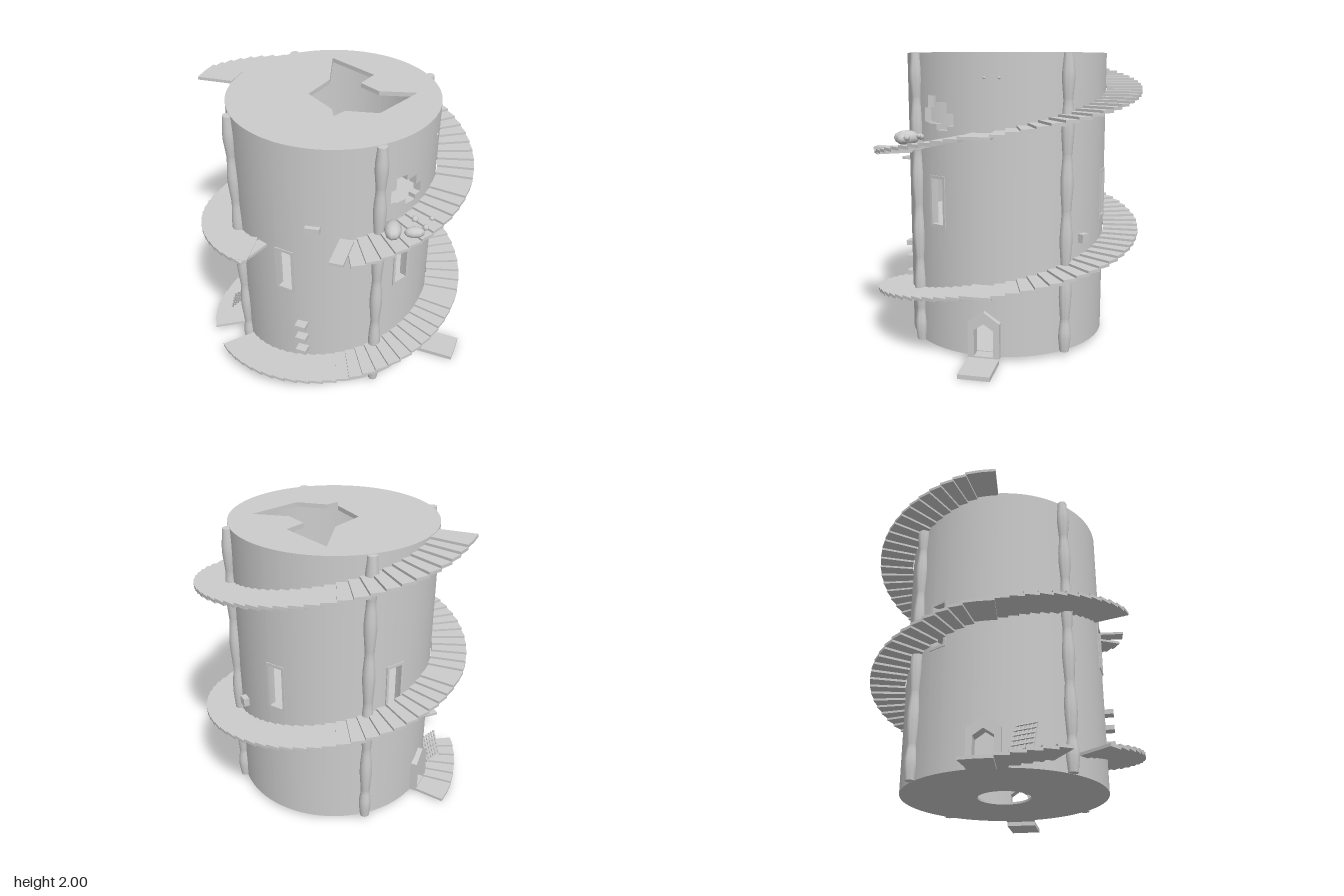
import * as THREE from 'three';
import { toCreasedNormals } from 'three/addons/utils/BufferGeometryUtils.js';

const grey = new THREE.MeshStandardMaterial({ color: 0xcccccc });
const RAD = Math.PI / 180;
const R = 0.695, RI = 0.645, Y0 = 0.03, Y1 = 2;

export function createModel() {
  const model = new THREE.Group();
  model.name = 'spiralStairTower';
  model.position.x = -0.03; // tower axis
  const root = new THREE.Group();
  root.add(model);

  const add = (geo, name, x = 0, y = 0, z = 0, parent = model) => {
    const m = new THREE.Mesh(geo, grey);
    m.name = name;
    m.position.set(x, y, z);
    parent.add(m);
    return m;
  };
  // Place on the wall: angle 0 is +x, 90 is the back; local +z points outwards
  const addAt = (geo, name, deg, r, y) => {
    const a = deg * RAD;
    const m = add(geo, name, r * Math.cos(a), y, -r * Math.sin(a));
    m.rotation.y = a + Math.PI / 2;
    return m;
  };
  const poly = pts => new THREE.Shape(pts.map(p => new THREE.Vector2(p[0], p[1])));
  const extrude = (shape, depth) =>
    new THREE.ExtrudeGeometry(shape, { depth, bevelEnabled: false, curveSegments: 96 });
  const flat = (shape, depth) => extrude(shape, depth).rotateX(-Math.PI / 2);

  // Openings in the wall: angle range and bottom/top height
  const windows = [-95.8, -28.6, 84.2, 151.4];
  const openings = [];
  for (const a of windows) openings.push({ a0: a - 4.6, a1: a + 4.6, lo: () => 0.88, hi: () => 1.2 });
  for (const c of [0, 180]) {
    for (const s of [-1, 1]) {
      const e = c + s * 6;
      openings.push({
        a0: Math.min(c, e), a1: Math.max(c, e),
        lo: () => 0.04, hi: a => 0.285 - 0.045 * Math.abs(a - c) / 6,
      });
    }
  }
  const breach = [[0.2, 0.25, 1.54, 1.62], [0.25, 0.33, 1.51, 1.69], [0.33, 0.4, 1.55, 1.73], [0.4, 0.43, 1.56, 1.65]];
  for (const [z0, z1, lo, hi] of breach)
    openings.push({ a0: -Math.asin(z1 / R) / RAD, a1: -Math.asin(z0 / R) / RAD, lo: () => lo, hi: () => hi });

  add(wallGeometry(openings), 'wall');

  // Roof with a jagged hole
  const disc = (r, holeR) => {
    const s = new THREE.Shape().absarc(0, 0, r, 0, Math.PI * 2);
    if (holeR) s.holes.push(new THREE.Path().absarc(0, 0, holeR, 0, Math.PI * 2, true));
    return s;
  };
  const roof = disc(0.648);
  roof.holes.push(poly([[-0.21, 0.51], [0.15, 0.36], [0.11, 0.21], [0.26, 0.14], [0.5, 0.21], [0.36, -0.14],
    [0.15, -0.19], [0.11, -0.28], [0.07, -0.2], [-0.15, -0.06], [-0.1, 0.18]]));
  add(flat(roof, 0.03), 'roof', 0, 1.97);

  // Floors
  add(flat(disc(0.648, 0.18), 0.015), 'groundFloor', 0, Y0);
  add(flat(disc(0.648), 0.03), 'middleFloor', 0, 0.83);
  add(flat(disc(0.648), 0.03), 'upperFloor', 0, 1.38);

  // Window frames
  const rect = (w, h) => poly([[-w, -h], [w, -h], [w, h], [-w, h]]);
  const frame = rect(0.068, 0.172);
  frame.holes.push(rect(0.05, 0.152));
  windows.forEach(a => addAt(extrude(frame, 0.03), 'windowFrame', a, 0.67, 1.04));

  // Pointed door frames and ground slabs
  const arch = (w, base, side, peak) => poly([[-w, base], [w, base], [w, side], [0, peak], [-w, side]]);
  const doorFrame = arch(0.106, Y0, 0.27, 0.345);
  doorFrame.holes.push(arch(0.065, 0.04, 0.22, 0.265));
  for (const a of [0, 180]) addAt(extrude(doorFrame, 0.08), 'doorFrame', a, 0.65, 0);
  add(new THREE.BoxGeometry(0.265, 0.03, 0.21), 'doorSlab', 0.8625, 0.015, 0);

  // Spiral stair: flat landing every half turn, 30 treads between
  const tread = half => {
    const a = half * RAD, c = Math.cos(a), s = Math.sin(a);
    const pts = [[0.7 * c, -0.7 * s], [0.945 * c, -0.945 * s]];
    if (half > 4) pts.push([0.945, 0]);
    pts.push([0.945 * c, 0.945 * s], [0.7 * c, 0.7 * s]);
    if (half > 4) pts.push([0.7, 0]);
    return flat(poly(pts), 0.02);
  };
  const stepGeo = tread(3), landingGeo = tread(6.3), rise = 0.4925 / 31;
  for (let half = 0; half < 5; half++) {
    for (let k = 0; k <= 30; k++) {
      if (half === 4 && k > 0) break;
      const top = 0.03 + half * 0.4925 + k * rise;
      if ((top > 0.112 && top < 0.166) || (top > 1.21 && top < 1.345)) continue; // fallen treads
      const m = add(k ? stepGeo : landingGeo, k ? 'stairTread' : 'landing', 0, top - 0.02);
      m.rotation.y = (-180 + half * 180 + (k ? 6 + (k - 0.5) * 5.6 : 0)) * RAD;
    }
  }
  // Loosened treads at the broken ends
  const loose = (deg, y, twist) => {
    const m = addAt(new THREE.BoxGeometry(0.09, 0.018, 0.24), 'looseTread', deg, 0.82, y);
    m.rotation.y += twist;
  };
  loose(-112, 1.2, 0.55);
  loose(-65, 1.355, -0.35);

  // Four columns of stacked bulging stones
  const profile = [];
  const joints = [0.03, 0.26, 0.62, 0.99, 1.36, 1.71, 2];
  for (let i = 0; i < joints.length - 1; i++)
    [[0.01, 0.032], [0.2, 0.037], [0.42, 0.043], [0.62, 0.042], [0.85, 0.034], [0.99, 0.031]].forEach(([t, r]) =>
      profile.push(new THREE.Vector2(r, THREE.MathUtils.lerp(joints[i], joints[i + 1], t))));
  profile.unshift(new THREE.Vector2(0, 0.03));
  profile.push(new THREE.Vector2(0, 1.998));
  const column = toCreasedNormals(new THREE.LatheGeometry(profile, 14), 0.6);
  for (const x of [-0.5, 0.5]) for (const z of [-0.5, 0.5]) add(column, 'column', x, 0, z);

  // Projecting wall stones and pegs
  for (const y of [0.37, 0.487, 0.602])
    add(new THREE.BoxGeometry(0.075, 0.034, 0.11), 'wallStone', 0.047, y, 0.7);
  addAt(new THREE.BoxGeometry(0.095, 0.042, 0.08), 'wallStone', -79, 0.685, 1.43);
  addAt(new THREE.BoxGeometry(0.06, 0.06, 0.09), 'wallStone', 57.3, 0.69, 0.79);
  for (const a of [0.5, 8.2]) addAt(new THREE.SphereGeometry(0.009, 10, 8), 'wallPeg', a, R, 1.845);

  // Leaning lattice beside the rear doorway
  const lattice = new THREE.Group();
  lattice.name = 'lattice';
  for (let i = 0; i < 6; i++) {
    add(new THREE.BoxGeometry(0.01, 0.2, 0.01), 'latticeBar', -0.07 + i * 0.028, 0, 0, lattice);
    add(new THREE.BoxGeometry(0.15, 0.01, 0.01), 'latticeRail', 0, -0.09 + i * 0.036, 0.006, lattice);
  }
  lattice.position.set(-0.71, 0.2, 0.24);
  lattice.rotation.set(-0.35, -199 * RAD + Math.PI / 2 + Math.PI * 2, 0, 'YXZ');
  model.add(lattice);

  // Rubble below the breach
  const rubble = [[0.6, 1.455, 0.54, 0.055, 0.05, 0.085, 0.3], [0.73, 1.46, 0.52, 0.065, 0.035, 0.04, 0.4],
    [0.7, 1.475, 0.41, 0.022, 0.02, 0.025, 0.1], [0.8, 1.49, 0.385, 0.018, 0.015, 0.015, 0.7],
    [0.785, 1.475, 0.47, 0.02, 0.02, 0.02, 1]];
  for (const [x, y, z, sx, sy, sz, turn] of rubble) {
    const rock = add(new THREE.SphereGeometry(1, 9, 6), 'rubble', x, y, z);
    rock.scale.set(sx, sy, sz);
    rock.rotation.y = turn;
  }

  // Furnishings of the upper room
  add(new THREE.SphereGeometry(0.15, 24, 16), 'globe', 0.03, 1.56, 0.02);
  add(new THREE.BoxGeometry(0.2, 0.025, 0.13), 'tableTop', 0.11, 1.7, -0.065);
  for (const x of [0.03, 0.19]) add(new THREE.BoxGeometry(0.02, 0.29, 0.1), 'tableLeg', x, 1.55, -0.065);
  for (const [x, z, turn] of [[0.04, -0.27, 0], [0.31, 0.06, 0.15]]) {
    const chair = new THREE.Group();
    chair.name = 'chair';
    add(new THREE.BoxGeometry(0.12, 0.02, 0.12), 'chairSeat', 0, 0.11, 0, chair);
    add(new THREE.BoxGeometry(0.12, 0.13, 0.015), 'chairBack', 0, 0.18, -0.055, chair);
    for (const lx of [-0.05, 0.05]) for (const lz of [-0.05, 0.05])
      add(new THREE.BoxGeometry(0.014, 0.11, 0.014), 'chairLeg', lx, 0.055, lz, chair);
    chair.position.set(x, 1.41, z);
    chair.rotation.y = turn;
    model.add(chair);
  }
  return root;
}

// Thick round wall made of angular strips, leaving out the openings
function wallGeometry(openings) {
  const norm = a => (a + 720) % 360;
  const angles = new Set();
  for (let i = 0; i < 96; i++) angles.add(i * 3.75);
  openings.forEach(o => { angles.add(norm(o.a0)); angles.add(norm(o.a1)); });
  const list = [...angles].sort((a, b) => a - b).filter((a, i, l) => !i || a - l[i - 1] > 1e-6);
  const pos = [];
  const pt = (r, a, y) => [r * Math.cos(a * RAD), y, -r * Math.sin(a * RAD)];
  const quad = (a, b, c, d) => pos.push(...a, ...b, ...c, ...a, ...c, ...d);

  const strips = list.map((a, i) => {
    const b = i + 1 < list.length ? list[i + 1] : 360, mid = (a + b) / 2;
    const spans = [];
    let lo = [Y0, Y0];
    openings.map(o => {
      const shift = Math.round((mid - (o.a0 + o.a1) / 2) / 360) * 360;
      return { o, shift, hit: mid - shift > o.a0 && mid - shift < o.a1 };
    }).filter(e => e.hit).sort((p, q) => p.o.lo() - q.o.lo()).forEach(({ o, shift }) => {
      spans.push([lo, [o.lo(), o.lo()]]);
      lo = [o.hi(a - shift), o.hi(b - shift)];
    });
    spans.push([lo, [Y1, Y1]]);
    return { a, b, spans };
  });

  strips.forEach(({ a, b, spans }, i) => {
    for (const [l, h] of spans) {
      quad(pt(R, a, l[0]), pt(R, b, l[1]), pt(R, b, h[1]), pt(R, a, h[0]));
      quad(pt(RI, b, l[1]), pt(RI, a, l[0]), pt(RI, a, h[0]), pt(RI, b, h[1]));
      quad(pt(R, a, h[0]), pt(R, b, h[1]), pt(RI, b, h[1]), pt(RI, a, h[0]));
      quad(pt(RI, a, l[0]), pt(RI, b, l[1]), pt(R, b, l[1]), pt(R, a, l[0]));
    }
    // Upright reveals wherever neighbouring strips differ
    const prev = strips[(i + strips.length - 1) % strips.length].spans.map(([l, h]) => [l[1], h[1]]);
    const here = spans.map(([l, h]) => [l[0], h[0]]);
    const ys = [...prev, ...here].flat().sort((p, q) => p - q);
    const solid = (s, y) => s.some(([l, h]) => y > l && y < h);
    for (let k = 0; k + 1 < ys.length; k++) {
      const y0 = ys[k], y1 = ys[k + 1], m = (y0 + y1) / 2;
      if (y1 - y0 < 1e-6 || solid(prev, m) === solid(here, m)) continue;
      const c = [pt(RI, a, y0), pt(R, a, y0), pt(R, a, y1), pt(RI, a, y1)];
      quad(...(solid(here, m) ? c : c.reverse()));
    }
  });
  const g = new THREE.BufferGeometry();
  g.setAttribute('position', new THREE.Float32BufferAttribute(pos, 3));
  return toCreasedNormals(g, 0.5);
}
